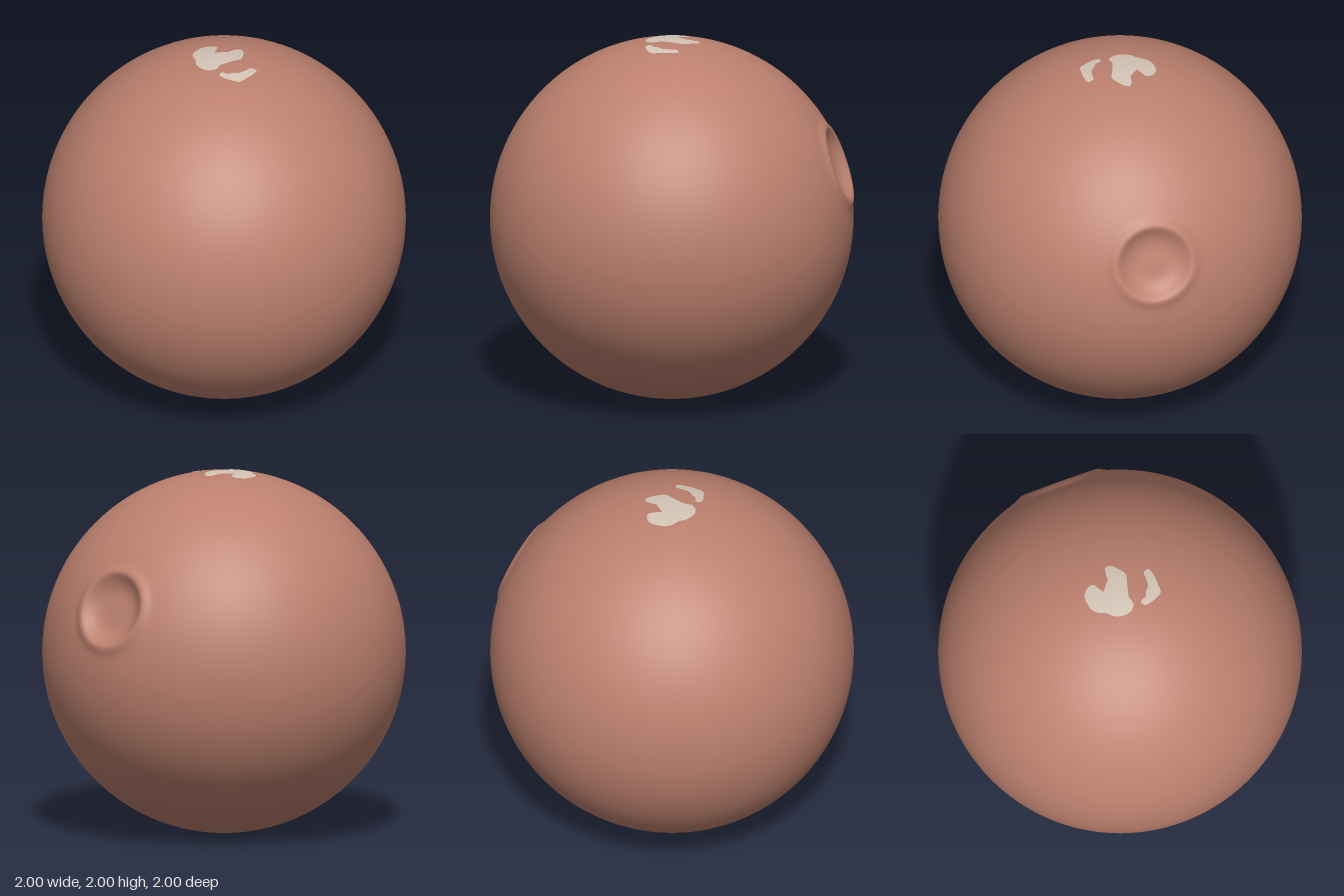
import * as THREE from 'three';

const RADIUS = 0.998;
const CRATER_ANGLE = 0.21;

const rust = new THREE.MeshStandardMaterial({ color: 0xbc806e });
rust.name = 'rust soil';
const ice = new THREE.MeshStandardMaterial({ color: 0xd3c4b5, side: THREE.DoubleSide });
ice.name = 'pale ice';

// Surface radius at an angle from the crater's axis: a bowl with a soft raised rim
function surfaceRadius(angle) {
  const t = angle / CRATER_ANGLE;
  const bowl = t < 1 ? -0.065 * (1 - t ** 4) ** 1.5 : 0;
  const rim = 0.012 * Math.exp(-(((t - 1.05) / 0.17) ** 2));
  return RADIUS + bowl + rim;
}

// Globe turned about the crater's axis, with finer rings near the crater
function makeGlobe() {
  const profile = [];
  const fine = 48, coarse = 80, split = 0.4;
  const add = (a) => {
    const r = surfaceRadius(a);
    profile.push(new THREE.Vector2(Math.max(0, Math.sin(a) * r), Math.cos(a) * r));
  };
  for (let i = 0; i < coarse; i++) add(Math.PI + (split - Math.PI) * (i / coarse));
  for (let i = 0; i <= fine; i++) add(split * (1 - i / fine));
  const globe = new THREE.Mesh(new THREE.LatheGeometry(profile, 128), rust);
  const craterAxis = new THREE.Vector3(0.2, 0.33, -0.91).normalize();
  globe.quaternion.setFromUnitVectors(new THREE.Vector3(0, 1, 0), craterAxis);
  globe.name = 'globe';
  return globe;
}

// Thin ice sheet following the globe; outline and centre are [x, z] seen from above
function makeIce(name, centre, outline, side) {
  const curve = new THREE.CatmullRomCurve3(
    outline.map(([x, z]) => new THREE.Vector3(x, 0, z)), true);
  const edge = curve.getPoints(outline.length * 4);
  const rings = 8, n = edge.length;
  const positions = [], normals = [], index = [];
  const r = RADIUS + 0.002;
  for (let k = 0; k <= rings; k++) {
    for (const p of edge) {
      const x = THREE.MathUtils.lerp(centre[0], p.x, k / rings);
      const z = THREE.MathUtils.lerp(centre[1], p.z, k / rings);
      const y = side * Math.sqrt(r * r - x * x - z * z);
      positions.push(x, y, z);
      normals.push(x / r, y / r, z / r);
    }
  }
  for (let k = 0; k < rings; k++) {
    for (let i = 0; i < n - 1; i++) {
      const a = k * n + i, b = a + 1, c = a + n, d = c + 1;
      if (side > 0) index.push(a, d, c, a, b, d);
      else index.push(a, c, d, a, d, b);
    }
  }
  const geometry = new THREE.BufferGeometry();
  geometry.setAttribute('position', new THREE.Float32BufferAttribute(positions, 3));
  geometry.setAttribute('normal', new THREE.Float32BufferAttribute(normals, 3));
  geometry.setIndex(index);
  const mesh = new THREE.Mesh(geometry, ice);
  mesh.name = name;
  return mesh;
}

export function createModel() {
  const planet = new THREE.Group();
  planet.name = 'planet';
  const body = new THREE.Group();
  body.name = 'body';
  body.position.y = 1;
  planet.add(body);

  body.add(makeGlobe());

  // Northern ice: a large notched sheet and a small curved one
  body.add(makeIce('largeNorthIce', [-0.064, 0.04], [
    [-0.193, -0.035], [-0.182, -0.078], [-0.139, -0.11], [-0.107, -0.104],
    [-0.096, -0.072], [-0.086, -0.04], [-0.048, -0.067], [-0.027, -0.083],
    [-0.013, -0.125], [0.005, -0.153], [0.032, -0.147], [0.059, -0.104],
    [0.075, -0.056], [0.054, -0.013], [0.032, 0.029], [0.016, 0.067],
    [0.016, 0.11], [-0.016, 0.137], [-0.064, 0.137], [-0.112, 0.11],
    [-0.139, 0.072], [-0.177, 0.04], [-0.195, 0.003]], 1));
  body.add(makeIce('smallNorthIce', [0.15, 0.099], [
    [0.166, -0.013], [0.198, -0.019], [0.204, 0.035], [0.193, 0.088],
    [0.182, 0.131], [0.139, 0.147], [0.08, 0.153], [0.059, 0.142],
    [0.059, 0.12], [0.096, 0.11], [0.112, 0.088], [0.139, 0.067],
    [0.155, 0.029]], 1));

  // Southern ice: one small round spot, listed clockwise from above
  const spot = [];
  for (let i = 0; i < 12; i++) {
    const a = (i / 12) * Math.PI * 2;
    spot.push([-0.028 + 0.043 * Math.cos(a), -0.028 + 0.043 * Math.sin(a)]);
  }
  body.add(makeIce('southIce', [-0.028, -0.028], spot, -1));

  return planet;
}
